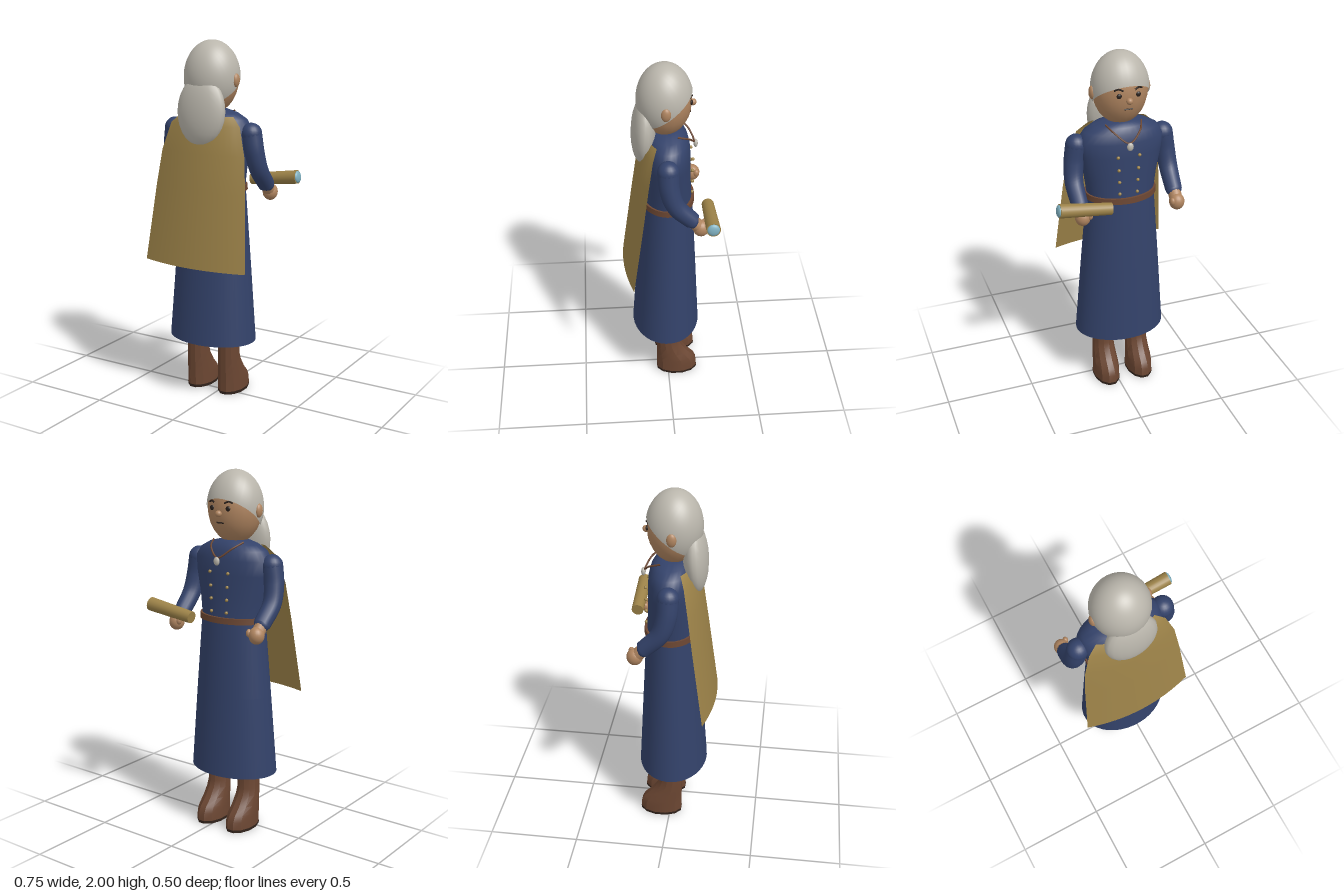
import * as THREE from 'three';
import { toCreasedNormals } from 'three/addons/utils/BufferGeometryUtils.js';

const mat = (color, extra = {}) => new THREE.MeshStandardMaterial({ color, ...extra });
const M = {
  blue: mat(0x33426a), gold: mat(0x9c8248), hair: mat(0xbab6ac), skin: mat(0xb08560),
  boot: mat(0x6b4632), sole: mat(0x33241c), dark: mat(0x2a211c), lens: mat(0x7fb0c0),
  blueOpen: mat(0x33426a, { side: THREE.DoubleSide }), cape: mat(0x9c8248, { side: THREE.DoubleSide }),
};

// Stack of elliptical rings, bottom to top: [y, centreZ, radiusX, radiusZ]
function loft(rings, n, crease = 0.9) {
  const pos = [], index = [];
  rings.forEach(([y, cz, rx, rz], r) => {
    for (let i = 0; i < n; i++) {
      const a = (i + 0.5) / n * Math.PI * 2;
      pos.push(rx * Math.cos(a), y, cz + rz * Math.sin(a));
      if (r === rings.length - 1) continue;
      const p = r * n + i, q = r * n + (i + 1) % n;
      index.push(p, p + n, q, q, p + n, q + n);
    }
  });
  const g = new THREE.BufferGeometry();
  g.setAttribute('position', new THREE.Float32BufferAttribute(pos, 3));
  g.setIndex(index);
  return toCreasedNormals(g, crease);
}

// Tube whose radius runs from r0 to r1
function taperTube(curve, r0, r1, segs = 16, sides = 14) {
  const g = new THREE.TubeGeometry(curve, segs, r0, sides);
  const p = g.attributes.position, v = new THREE.Vector3();
  for (let i = 0; i < p.count; i++) {
    const t = Math.floor(i / (sides + 1)) / segs, c = curve.getPointAt(t);
    v.fromBufferAttribute(p, i).sub(c).multiplyScalar(1 + (r1 / r0 - 1) * t).add(c);
    p.setXYZ(i, v.x, v.y, v.z);
  }
  return g;
}

export function createModel() {
  const group = new THREE.Group();
  const body = new THREE.Group();
  body.name = 'figure';
  body.position.x = -0.05;
  group.add(body);

  const add = (name, geo, material, pos = [0, 0, 0], scale = [1, 1, 1], parent = body) => {
    const m = new THREE.Mesh(geo, material);
    m.name = name;
    m.position.set(...pos);
    m.scale.set(...scale);
    parent.add(m);
    return m;
  };
  const ball = (name, material, pos, r, parent = body) =>
    add(name, new THREE.SphereGeometry(1, 20, 14), material, pos, Array.isArray(r) ? r : [r, r, r], parent);
  const V = (...p) => new THREE.Vector3(...p);

  // Robe
  add('skirt', loft([[0.325, 0.007, 0.26, 0.193], [0.78, 0.002, 0.225, 0.165], [1.21, -0.002, 0.19, 0.138]], 40), M.blueOpen);
  add('torso', loft([
    [1.2, -0.002, 0.188, 0.136], [1.32, 0, 0.205, 0.13], [1.45, 0, 0.232, 0.128], [1.53, 0, 0.24, 0.124],
    [1.58, 0, 0.205, 0.112], [1.61, 0, 0.15, 0.095], [1.63, 0, 0.07, 0.07], [1.63, 0, 0, 0],
  ], 32), M.blue);
  add('belt', loft([[1.19, -0.002, 0.19, 0.138], [1.19, -0.002, 0.202, 0.15], [1.222, -0.002, 0.2, 0.148], [1.222, -0.002, 0.185, 0.134]], 40), M.boot);
  for (const s of [-1, 1]) {
    for (const [x, y] of [[0.06, 1.465], [0.055, 1.39], [0.052, 1.32], [0.05, 1.25]]) {
      ball('button', M.gold, [s * x, y, -0.136], 0.009);
    }
  }

  // Cape: rows of [y, half width, centre z, edge z]
  const rows = [[0.78, 0.32, 0.25, 0.2], [1.2, 0.285, 0.195, 0.14], [1.4, 0.262, 0.167, 0.112],
    [1.55, 0.218, 0.14, 0.085], [1.6, 0.165, 0.11, 0.062]];
  const cape = new THREE.PlaneGeometry(2, 1, 16, rows.length - 1);
  const cp = cape.attributes.position;
  for (let i = 0; i < cp.count; i++) {
    const u = cp.getX(i), [y, half, zc, ze] = rows[rows.length - 1 - Math.floor(i / 17)];
    cp.setXYZ(i, half * u, y, zc + (ze - zc) * u * u);
  }
  cape.computeVertexNormals();
  add('cape', cape, M.cape);

  // Head: unit-sphere parts share one ellipsoid
  const C = [0, 1.8, 0.01], R = [0.15, 0.195, 0.143];
  const onFace = (x, y) => C[2] - R[2] * Math.sqrt(1 - (x / R[0]) ** 2 - ((y - C[1]) / R[1]) ** 2);
  ball('head', M.skin, C, R);
  add('neck', new THREE.CylinderGeometry(0.06, 0.065, 0.12, 16), M.skin, [0, 1.61, 0.01]);
  const cap = new THREE.SphereGeometry(1, 32, 20, 0, Math.PI * 2, 0, 1.82).rotateX(0.53);
  add('hairCap', cap, mat(0xbab6ac, { side: THREE.DoubleSide }), C, [0.156, 0.2, 0.15]);
  ball('hairTail', M.hair, [0, 1.625, 0.122], [0.146, 0.19, 0.066]).rotation.x = -0.07;
  ball('nose', M.skin, [0, 1.777, -0.138], 0.018);
  for (const s of [-1, 1]) {
    ball('ear', M.skin, [s * 0.152, 1.79, 0.013], [0.018, 0.037, 0.026]);
    ball('eye', M.dark, [s * 0.052, 1.805, onFace(0.052, 1.805)], [0.014, 0.014, 0.008]);
    const brow = new THREE.CatmullRomCurve3([0.032, 0.054, 0.076].map((x, i) => {
      const y = [1.833, 1.842, 1.834][i];
      return V(s * x, y, onFace(x, y) - 0.002);
    }));
    add('eyebrow', new THREE.TubeGeometry(brow, 8, 0.005, 6), M.dark);
  }
  const mouth = new THREE.CatmullRomCurve3([-0.024, 0, 0.024].map(x => V(x, 1.728, onFace(x, 1.728) - 0.001)));
  add('mouth', new THREE.TubeGeometry(mouth, 8, 0.004, 6), M.dark);

  // Necklace
  const cord = new THREE.CatmullRomCurve3([V(-0.1, 1.625, -0.05), V(-0.07, 1.595, -0.112), V(0, 1.545, -0.147),
    V(0.07, 1.595, -0.112), V(0.1, 1.625, -0.05)]);
  add('necklaceCord', new THREE.TubeGeometry(cord, 28, 0.005, 6), M.boot);
  ball('pendant', M.hair, [0, 1.528, -0.155], [0.018, 0.023, 0.012]);

  // Arms, hands, legs and boots, mirrored
  for (const s of [-1, 1]) {
    const arm = new THREE.Group();
    arm.name = s > 0 ? 'leftArm' : 'rightArm';
    body.add(arm);
    const path = new THREE.CatmullRomCurve3([V(s * 0.245, 1.51, 0.008), V(s * 0.262, 1.41, 0.002),
      V(s * 0.272, 1.31, -0.03), V(s * 0.27, 1.215, -0.118)]);
    add('sleeve', taperTube(path, 0.058, 0.046), M.blueOpen, undefined, undefined, arm);
    ball('shoulder', M.blue, [s * 0.245, 1.51, 0.008], 0.058, arm);
    ball('cuff', M.blue, [s * 0.27, 1.215, -0.118], [0.045, 0.04, 0.035], arm);
    const wrist = new THREE.LineCurve3(V(s * 0.27, 1.22, -0.11), V(s * 0.27, 1.175, -0.155));
    add('wrist', new THREE.TubeGeometry(wrist, 1, 0.036, 12), M.skin, undefined, undefined, arm);
    ball('hand', M.skin, [s * 0.27, 1.165, -0.165], [0.042, 0.047, 0.044], arm);
    ball('thumb', M.skin, [s * 0.236, 1.178, -0.187], [0.015, 0.022, 0.017], arm);

    const leg = new THREE.Group();
    leg.name = s > 0 ? 'leftLeg' : 'rightLeg';
    leg.position.x = s * 0.103;
    body.add(leg);
    add('trouser', new THREE.CylinderGeometry(0.07, 0.055, 0.5, 14), M.blue, [0, 0.56, 0], undefined, leg);
    // Boot rings from [y, front z, half width]
    const boot = [[0.015, -0.175, 0.075], [0.06, -0.172, 0.074], [0.095, -0.155, 0.072], [0.135, -0.115, 0.068],
      [0.19, -0.077, 0.064], [0.23, -0.064, 0.061], [0.33, -0.064, 0.061]]
      .map(([y, f, w]) => [y, (0.068 + f) / 2, w, (0.068 - f) / 2]);
    boot.push([0.33, 0, 0, 0]);
    add('boot', loft(boot, 12, 0.45), M.boot, undefined, undefined, leg);
    add('sole', loft([[0, -0.053, 0, 0], [0, -0.053, 0.074, 0.121], [0.016, -0.053, 0.076, 0.123], [0.016, -0.053, 0, 0]], 12, 0.45),
      M.sole, undefined, undefined, leg);
  }

  // Spyglass held in the left hand
  const spyglass = new THREE.Group();
  spyglass.name = 'spyglass';
  spyglass.position.set(0.22, 1.235, -0.214);
  spyglass.rotation.z = -Math.PI / 2 + 0.13;
  group.add(spyglass);
  add('barrel', new THREE.CylinderGeometry(0.038, 0.033, 0.29, 20), M.gold, undefined, undefined, spyglass);
  ball('lens', M.lens, [0, 0.145, 0], [0.033, 0.014, 0.033], spyglass);

  return group;
}
